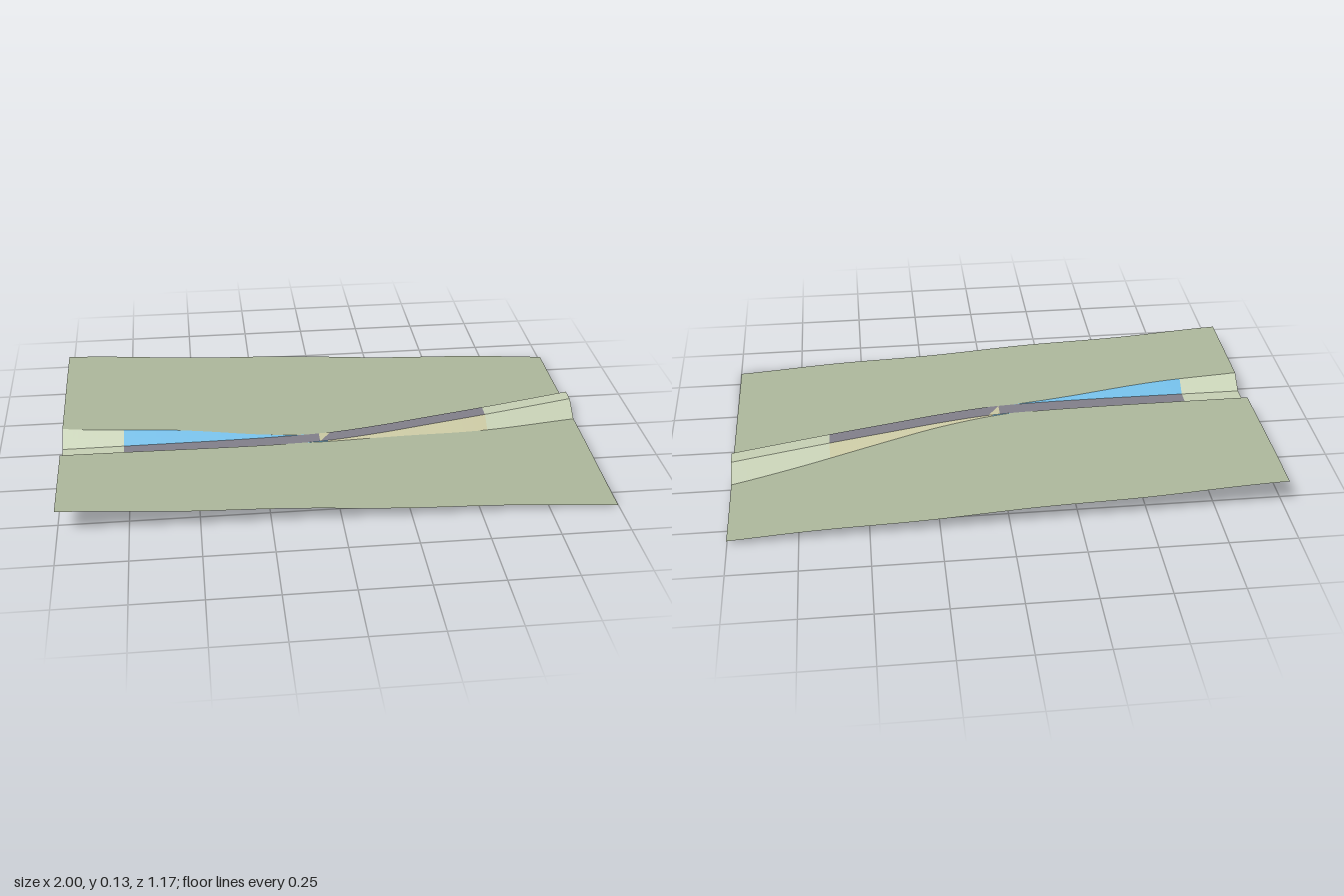
import * as THREE from 'three';

const HALF_ROAD = 0.03, HALF_DEPTH = 0.585, SLOPE = 0.72;
const PAVE_START = -0.77, CROSSING = -0.03, PAVE_END = 0.635;
const COLORS = { ground: 0xadb89c, pale: 0xc6d0b4, road: 0x82808a, cut: 0x6bb8e2, fill: 0xcac8a2 };

// Gently rolling hillside falling toward +x
const ground = (x, z) => 0.0655 - 0.052 * x - 0.017 * z + 0.0028 * Math.sin(8 * x + 6 * z + 5.83);

// Nearly level road grade
const grade = (x) => 0.067 + 0.002 * x;

// Road centre line in plan: straight through the cut, then bending toward -z
const line = new THREE.SplineCurve([
  [-1.2, 0.105], [-1, 0.105], [-0.8, 0.105], [-0.6, 0.105], [-0.4, 0.104], [-0.2, 0.1], [0, 0.088],
  [0.2, 0.054], [0.4, 0.008], [0.6, -0.038], [0.8, -0.087], [1, -0.138], [1.2, -0.19],
].map(([x, z]) => new THREE.Vector2(x, z)));
const centre = (x) => line.getPoint((x + 1.2) / 2.4).y;
const edge = (x, side) => centre(x) + side * HALF_ROAD;

// Where the side slope meets the hillside
function foot(x, side) {
  let z = edge(x, side);
  for (let i = 0; i < 12; i++) {
    z = edge(x, side) + side * Math.abs(ground(x, z) - grade(x)) / SLOPE;
  }
  return z;
}

// Surface strip between two plan lines zA(x) < zB(x)
function strip(name, color, x0, x1, nx, zA, zB, nz, height) {
  const geo = new THREE.PlaneGeometry(1, 1, nx, nz);
  const pos = geo.attributes.position;
  for (let i = 0; i < pos.count; i++) {
    const u = pos.getX(i) + 0.5, v = 0.5 - pos.getY(i);
    const x = x0 + (x1 - x0) * u;
    const z = zA(x) + (zB(x) - zA(x)) * v;
    pos.setXYZ(i, x, height(x, z, v), z);
  }
  geo.computeVertexNormals();
  const mesh = new THREE.Mesh(geo, new THREE.MeshStandardMaterial({ color, side: THREE.DoubleSide }));
  mesh.name = name;
  return mesh;
}

export function createModel() {
  const group = new THREE.Group();
  group.name = 'roadThroughHillside';
  const north = (x) => edge(x, -1), south = (x) => edge(x, 1);
  const northFoot = (x) => foot(x, -1), southFoot = (x) => foot(x, 1);

  // Hillside on both sides of the corridor
  group.add(
    strip('backHillside', COLORS.ground, -1, 1, 100, () => -HALF_DEPTH, northFoot, 24, ground),
    strip('frontHillside', COLORS.ground, -1, 1, 100, southFoot, () => HALF_DEPTH, 24, ground),
  );

  // Side slopes: cutting, embankment and the pale ends
  const sections = [
    ['cutEnd', -1, PAVE_START, COLORS.pale],
    ['cutting', PAVE_START, 0, COLORS.cut],
    ['embankment', 0, PAVE_END, COLORS.fill],
    ['embankmentEnd', PAVE_END, 1, COLORS.pale],
  ];
  for (const [name, x0, x1, color] of sections) {
    const n = Math.ceil((x1 - x0) * 50);
    group.add(
      strip(name + 'BackSlope', color, x0, x1, n, northFoot, north, 2,
        (x, z, v) => THREE.MathUtils.lerp(ground(x, northFoot(x)), grade(x), v)),
      strip(name + 'FrontSlope', color, x0, x1, n, south, southFoot, 2,
        (x, z, v) => THREE.MathUtils.lerp(grade(x), ground(x, southFoot(x)), v)),
    );
  }

  // Roadbed, with a wedge where cut turns to fill
  const wedgeEnd = 0.015;
  const wedge = (x) => THREE.MathUtils.lerp(south(x), north(x), (x - CROSSING) / (wedgeEnd - CROSSING));
  group.add(
    strip('cutEndBed', COLORS.pale, -1, PAVE_START, 12, north, south, 1, grade),
    strip('cutRoad', COLORS.road, PAVE_START, CROSSING, 36, north, south, 1, grade),
    strip('crossingWedge', COLORS.fill, CROSSING, wedgeEnd, 4, north, wedge, 1, grade),
    strip('crossingRoad', COLORS.road, CROSSING, wedgeEnd, 4, wedge, south, 1, grade),
    strip('fillRoad', COLORS.road, wedgeEnd, PAVE_END, 32, north, south, 1, grade),
    strip('embankmentEndBed', COLORS.pale, PAVE_END, 1, 18, north, south, 1, grade),
  );

  // Upright face inside the embankment where the paving stops
  const c = centre(PAVE_END), top = grade(PAVE_END) - 0.001;
  const face = new THREE.Shape([[-0.028, 0], [0.028, 0], [0.046, -0.016], [-0.046, -0.016]]
    .map(([z, y]) => new THREE.Vector2(-(c + z), top + y)));
  const cap = new THREE.Mesh(new THREE.ShapeGeometry(face),
    new THREE.MeshStandardMaterial({ color: COLORS.fill, side: THREE.DoubleSide }));
  cap.name = 'embankmentStep';
  cap.rotation.y = Math.PI / 2;
  cap.position.x = PAVE_END;
  group.add(cap);

  return group;
}
